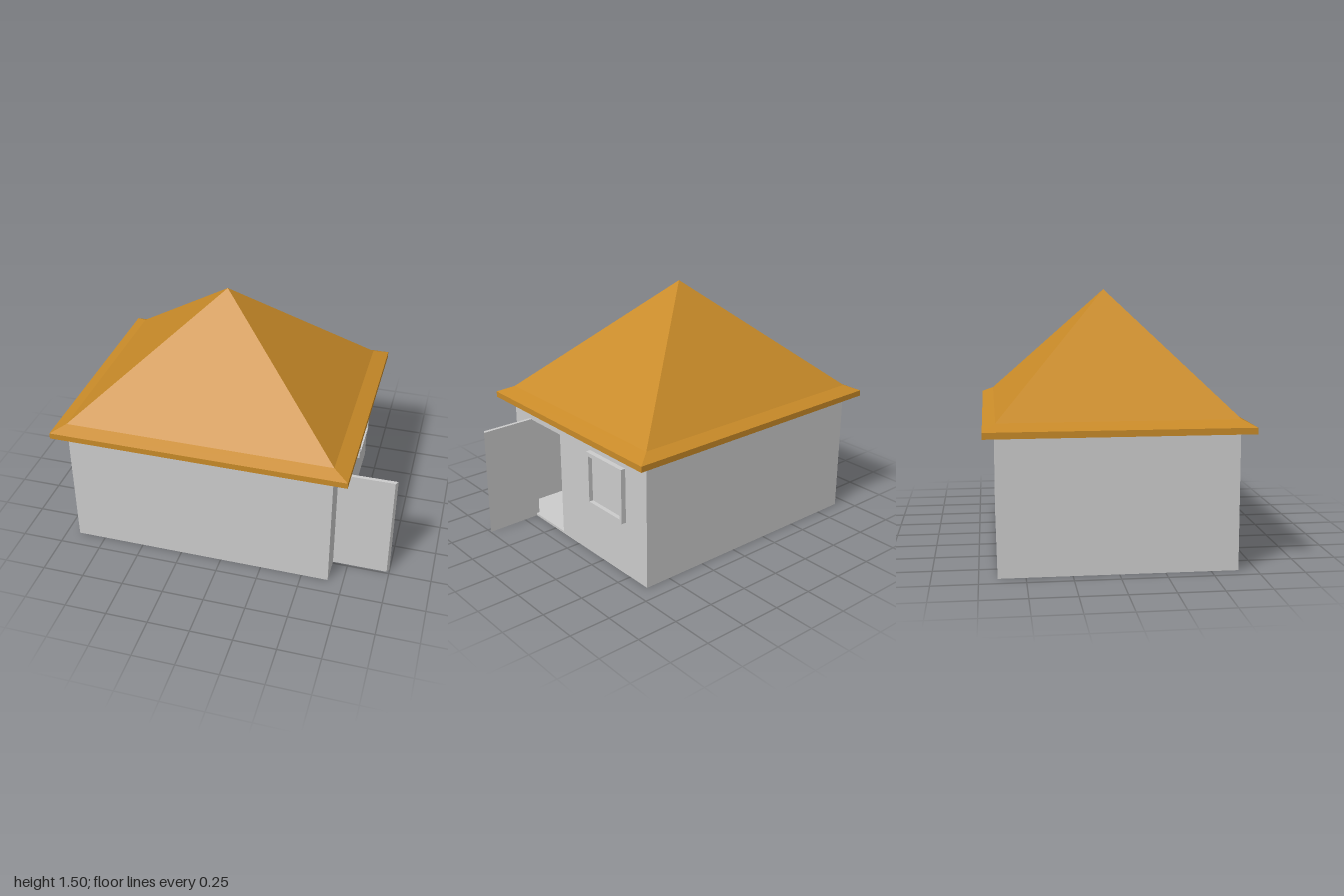
import * as THREE from 'three';

const X0 = -0.92, X1 = 0.66, Z = 0.65, WALL_TOP = 0.825, T = 0.02;

// Outline from points; u runs along -z once the panel is turned to face +x
const outline = (pts, Type = THREE.Shape) => new Type(pts.map(([u, y]) => new THREE.Vector2(u, y)));
const rect = (u0, u1, y0, y1) => [[u0, y0], [u1, y0], [u1, y1], [u0, y1]];

function sidePanel(shape, depth) {
  const g = new THREE.ExtrudeGeometry(shape, { depth, bevelEnabled: false });
  return g.rotateY(Math.PI / 2);
}

// Four-sided surface through rectangular rings [y, x0, x1, z0, z1]
function ringSurface(rings) {
  const corners = rings.map(([y, x0, x1, z0, z1]) => [[x0, y, z1], [x1, y, z1], [x1, y, z0], [x0, y, z0]]);
  const pos = [];
  for (let r = 0; r < corners.length - 1; r++) {
    for (let i = 0; i < 4; i++) {
      const j = (i + 1) % 4, a = corners[r], b = corners[r + 1];
      pos.push(...a[i], ...a[j], ...b[j]);
      if (r < corners.length - 2) pos.push(...a[i], ...b[j], ...b[i]);
    }
  }
  const g = new THREE.BufferGeometry();
  g.setAttribute('position', new THREE.Float32BufferAttribute(pos, 3));
  g.computeVertexNormals();
  return g;
}

export function createModel() {
  const house = new THREE.Group();
  house.name = 'house';
  const grey = new THREE.MeshStandardMaterial({ color: 0xcccccc, flatShading: true });
  const ochre = new THREE.MeshStandardMaterial({ color: 0xc88a28, flatShading: true, side: THREE.DoubleSide });

  const add = (name, geometry, x = 0, y = 0, z = 0, material = grey) => {
    const mesh = new THREE.Mesh(geometry, material);
    mesh.name = name;
    mesh.position.set(x, y, z);
    house.add(mesh);
    return mesh;
  };
  const box = (name, x0, x1, y0, y1, z0, z1) =>
    add(name, new THREE.BoxGeometry(x1 - x0, y1 - y0, z1 - z0), (x0 + x1) / 2, (y0 + y1) / 2, (z0 + z1) / 2);

  // Floor and three plain walls
  box('floor', X0 + T, X1 - T, 0, 0.015, -Z + T, Z - T);
  box('frontWall', X0, X1, 0, WALL_TOP, Z - T, Z);
  box('backWall', X0, X1, 0, WALL_TOP, -Z, -Z + T);
  box('rightWall', X0, X0 + T, 0, WALL_TOP, -Z + T, Z - T);

  // Wall with the doorway
  const e = Z - T;
  add('doorWall', sidePanel(outline([
    [-e, 0], [-0.47, 0], [-0.47, 0.66], [-0.165, 0.66], [-0.165, 0], [e, 0], [e, WALL_TOP], [-e, WALL_TOP],
  ]), T), X1 - T);
  box('threshold', X1 - T, X1, 0, 0.015, 0.165, 0.47);

  // Door swung fully open, with a slanted free edge
  const doorPlan = outline([[X1, -0.488], [0.985, -0.488], [0.998, -0.465], [X1, -0.468]]);
  const doorGeo = new THREE.ExtrudeGeometry(doorPlan, { depth: 0.665, bevelEnabled: false });
  add('door', doorGeo.rotateX(-Math.PI / 2));

  // Window: raised frame around a recessed pane
  const frame = outline(rect(0.14, 0.465, 0.333, 0.665));
  frame.holes.push(outline(rect(0.16, 0.445, 0.355, 0.64), THREE.Path));
  add('windowFrame', sidePanel(frame, 0.03), X1);
  box('windowPane', X1 - 0.005, X1 + 0.004, 0.35, 0.645, -0.45, -0.155);

  // Hollow roof: fascia, flared eave, main slopes to the apex
  add('roof', ringSurface([
    [0.76, -1, 0.75, -0.72, 0.72],
    [0.795, -1, 0.75, -0.72, 0.72],
    [0.83, X0, X1, -Z, Z],
    [1.5, -0.127, -0.127, 0.005, 0.005],
  ]), 0, 0, 0, ochre);

  return house;
}
